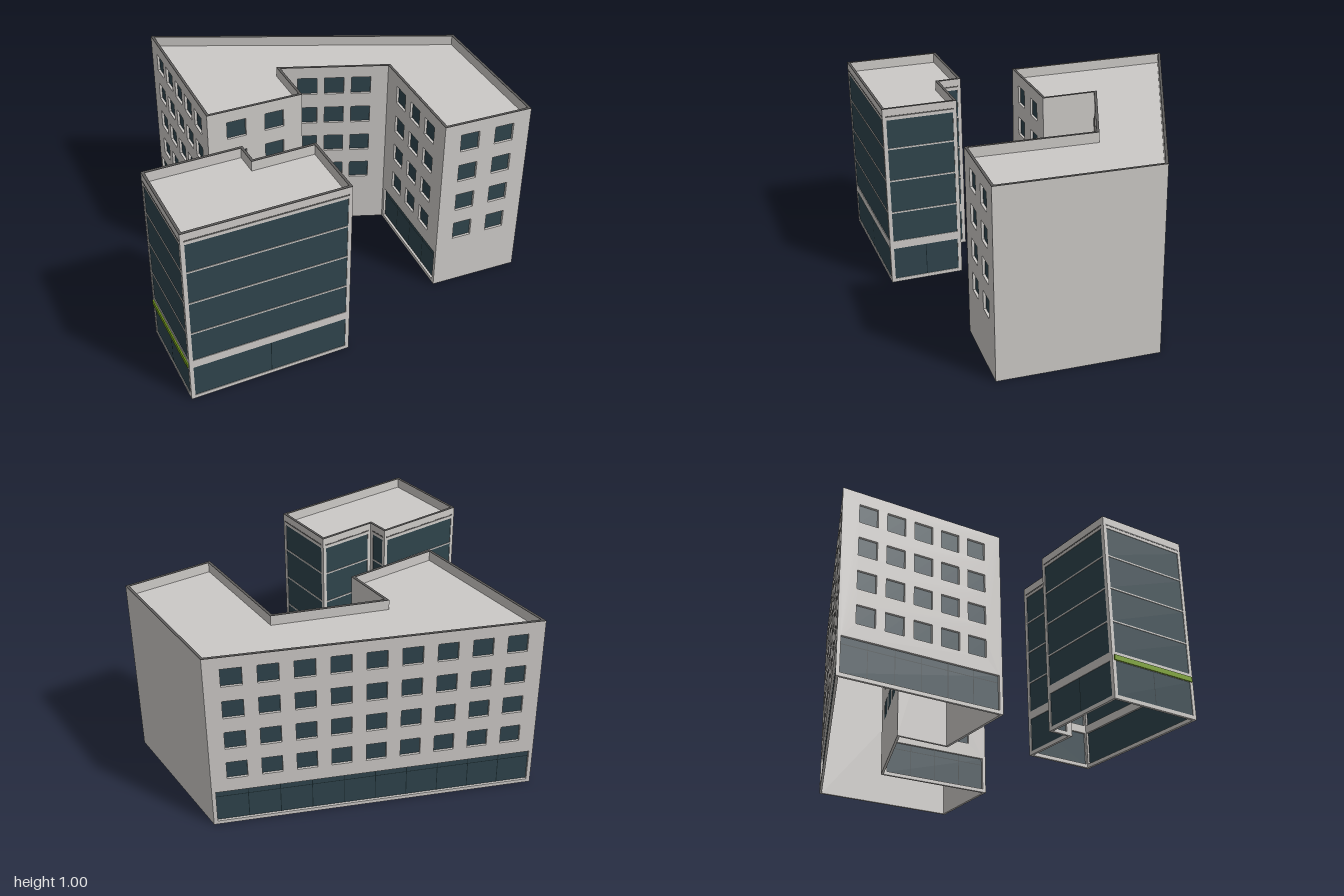
import * as THREE from 'three';
import { mergeGeometries } from 'three/addons/utils/BufferGeometryUtils.js';

const mat = (name, color, side = THREE.FrontSide) => {
  const m = new THREE.MeshStandardMaterial({ side });
  m.color.set(color);
  m.name = name;
  return m;
};

export function createModel() {
  const wallMat = mat('pale concrete', '#cecbc8');
  const roofMat = mat('roof concrete', '#cbc9c7', THREE.DoubleSide);
  const glassMat = mat('dark glass', '#2f444c', THREE.DoubleSide);
  const mullionMat = mat('mullion', '#17262b', THREE.DoubleSide);
  const copingMat = mat('grey coping', '#5c5b5a');
  const greenMat = mat('green', '#78a01e');

  const T = 0.014; // wall thickness
  const H = 0.997; // wall height below the coping
  const model = new THREE.Group();
  model.name = 'officeBuildings';

  const add = (parent, name, geo, material) => {
    const m = new THREE.Mesh(geo, material);
    m.name = name;
    parent.add(m);
    return m;
  };

  // flat rectangle [u0, y0, u1, y1] at depth z
  const pane = ([a, b, c, d], z) =>
    new THREE.PlaneGeometry(c - a, d - b).translate((a + c) / 2, (b + d) / 2, z);

  const rectPath = ([a, b, c, d]) => new THREE.Path([
    new THREE.Vector2(a, b), new THREE.Vector2(a, d), new THREE.Vector2(c, d), new THREE.Vector2(c, b)]);

  // footprint moved inwards by t, with mitred corners
  const inset = (pts, t) => pts.map((p, i) => {
    const n = pts.length;
    const a = p.clone().sub(pts[(i + n - 1) % n]).normalize();
    const b = pts[(i + 1) % n].clone().sub(p).normalize();
    const na = new THREE.Vector2(a.y, -a.x), nb = new THREE.Vector2(b.y, -b.x);
    return p.clone().add(na.add(nb).multiplyScalar(t / (1 + a.dot(b) )));
  });

  const planShape = (pts) => new THREE.Shape(pts.map((p) => new THREE.Vector2(p.x, -p.y)));

  // one facade: mitred wall with openings, glass and mullions
  function facade(parent, name, p, q, ip, iq, { holes, mullions, glassDepth }) {
    const g = new THREE.Group();
    g.name = name;
    const dir = q.clone().sub(p), L = dir.length();
    dir.normalize();
    g.matrix.makeBasis(new THREE.Vector3(dir.x, 0, dir.y), new THREE.Vector3(0, 1, 0),
      new THREE.Vector3(-dir.y, 0, dir.x)).setPosition(p.x, 0, p.y);
    g.matrix.decompose(g.position, g.quaternion, g.scale);

    const shape = new THREE.Shape(rectPath([0, 0, L, H]).getPoints().reverse());
    holes.forEach((h) => shape.holes.push(rectPath(h)));
    const wall = new THREE.ExtrudeGeometry(shape, { depth: T, bevelEnabled: false }).translate(0, 0, -T);
    const startU = ip.clone().sub(p).dot(dir), endU = iq.clone().sub(p).dot(dir);
    const pos = wall.attributes.position;
    for (let i = 0; i < pos.count; i++) {
      if (pos.getZ(i) > -T / 2) continue;
      if (pos.getX(i) < 1e-4) pos.setX(i, startU);
      else if (pos.getX(i) > L - 1e-4) pos.setX(i, endU);
    }
    wall.computeVertexNormals();
    add(g, 'wall', wall, wallMat);
    if (holes.length) add(g, 'glass', mergeGeometries(holes.map((h) => pane(h, -glassDepth))), glassMat);
    if (mullions.length) add(g, 'mullions', mergeGeometries(mullions.map((m) => pane(m, -glassDepth + 0.0015))), mullionMat);
    parent.add(g);
    return { g, L };
  }

  // walls around a footprint, plus sunken roof and coping
  function building(name, coords, design) {
    const g = new THREE.Group();
    g.name = name;
    model.add(g);
    const pts = coords.map(([x, z]) => new THREE.Vector2(x, z));
    const inner = inset(pts, T);
    pts.forEach((p, i) => {
      const j = (i + 1) % pts.length;
      const d = design(i, p.distanceTo(pts[j]));
      const f = facade(g, 'facade' + (i + 1), p, pts[j], inner[i], inner[j], d);
      if (d.extra) d.extra(f.g, f.L);
    });
    add(g, 'roof', new THREE.ShapeGeometry(planShape(inner)).rotateX(-Math.PI / 2).translate(0, 0.945, 0), roofMat);
    const ring = planShape(pts);
    ring.holes.push(planShape(inner));
    add(g, 'coping', new THREE.ExtrudeGeometry(ring, { depth: 1 - H, bevelEnabled: false })
      .rotateX(-Math.PI / 2).translate(0, H, 0), copingMat);
  }

  // large angled block: columns of windows and glazed ground floor per facade
  const columns = [2, 0, 3, 3, 2, 0, 9, 5];
  const margins = { 2: 0.3, 3: 0.25, 5: 0.16, 9: 0.08 };
  const shopPanels = { 3: 4, 6: 10, 7: 6 };
  building('angledBlock', [[-0.55, 0.03], [-0.03, 0.03], [-0.03, -0.257], [0.51, -0.053],
    [0.484, 0.607], [0.968, 0.622], [0.997, -0.21], [-0.547, -0.88]], (i, L) => {
    const holes = [], mullions = [], n = columns[i], m = margins[n];
    for (let c = 0; c < n; c++) {
      const u = L * (m + (1 - 2 * m) * c / (n - 1));
      for (let r = 0; r < 4; r++) {
        const y = 0.334 + 0.183 * r;
        holes.push([u - 0.052, y - 0.05, u + 0.052, y + 0.05]);
      }
    }
    if (shopPanels[i]) {
      const a = 0.02, b = L - 0.02, k = shopPanels[i];
      holes.push([a, 0.02, b, 0.205]);
      mullions.push([a, 0.166, b, 0.17]);
      for (let s = 1; s < k; s++) {
        const u = a + (b - a) * s / k;
        mullions.push([u - 0.002, 0.02, u + 0.002, 0.205]);
      }
    }
    return { holes, mullions, glassDepth: T - 0.001 };
  });

  // small glazed block: banded curtain walls all round
  const floors = [[0.02, 0.2], [0.245, 0.408], [0.416, 0.591], [0.599, 0.772], [0.78, 0.936]];
  building('glazedBlock', [[-0.985, 0.879], [-0.145, 0.862], [-0.15, 0.467], [-0.48, 0.475],
    [-0.485, 0.35], [-0.995, 0.36]], (i, L) => ({
    holes: floors.map(([a, b]) => [0.02, a, L - 0.02, b]),
    mullions: L > 0.35 ? [[L / 2 - 0.002, 0.02, L / 2 + 0.002, 0.2]] : [],
    glassDepth: 0.003,
    extra: (g) => {
      add(g, 'grooveLine', new THREE.BoxGeometry(L - 0.03, 0.008, 0.002).translate(L / 2, 0.956, 0), copingMat);
      if (i === 5) add(g, 'greenStrip', new THREE.BoxGeometry(L - 0.02, 0.027, 0.008).translate(L / 2, 0.214, 0.003), greenMat);
    },
  }));

  return model;
}
